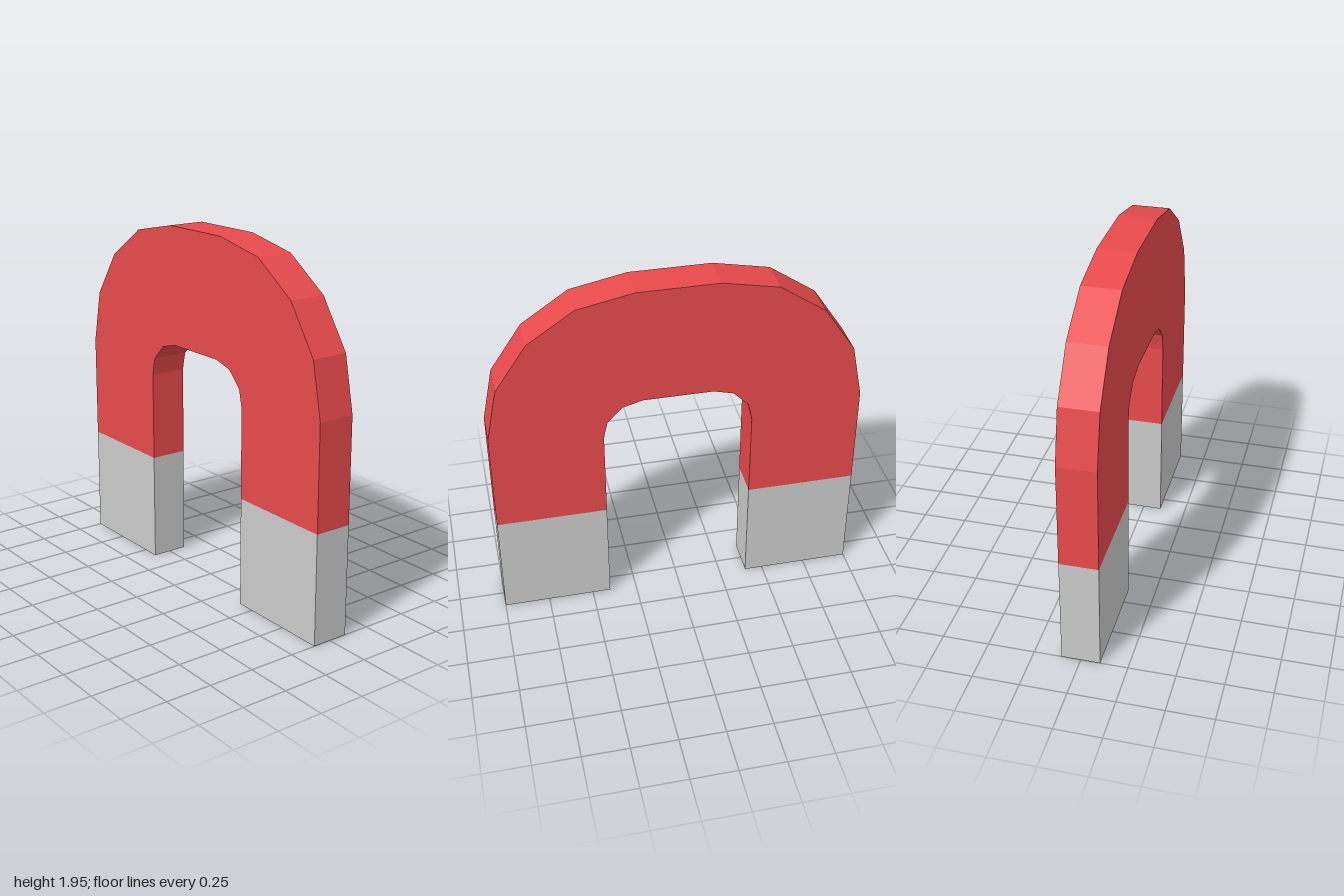
import * as THREE from 'three';

const HALF_WIDTH = 0.103;
const LEG_SPLIT = 0.6;

// Half of the arch: [outer z, outer y, inner z, inner y], from the leg to the crown
const HALF_ARCH = [
  [1, LEG_SPLIT, 0.4, LEG_SPLIT],
  [1, 1.17, 0.4, 1.09],
  [0.94, 1.465, 0.39, 1.14],
  [0.77, 1.717, 0.378, 1.19],
  [0.52, 1.887, 0.295, 1.274],
  [0.217, 1.948, 0.187, 1.303],
];

const mirrorSection = ([oz, oy, iz, iy]) => [-oz, oy, -iz, iy];

// Flat-faced open sleeve through rectangular cross-sections
function sleeve(sections) {
  const rings = sections.map(([oz, oy, iz, iy]) => [
    [HALF_WIDTH, oy, oz],
    [HALF_WIDTH, iy, iz],
    [-HALF_WIDTH, iy, iz],
    [-HALF_WIDTH, oy, oz],
  ]);
  const positions = [];
  for (let i = 0; i < rings.length - 1; i++) {
    for (let j = 0; j < 4; j++) {
      const k = (j + 1) % 4;
      const a = rings[i][j], b = rings[i][k], c = rings[i + 1][k], d = rings[i + 1][j];
      positions.push(...a, ...b, ...c, ...a, ...c, ...d);
    }
  }
  const geometry = new THREE.BufferGeometry();
  geometry.setAttribute('position', new THREE.Float32BufferAttribute(positions, 3));
  geometry.computeVertexNormals();
  return geometry;
}

export function createModel() {
  const group = new THREE.Group();
  group.name = 'horseshoeMagnet';
  const red = new THREE.MeshStandardMaterial({ color: 0xe84a4c, flatShading: true });
  const grey = new THREE.MeshStandardMaterial({ color: 0xcccccc, flatShading: true });

  const add = (name, geometry, material) => {
    const mesh = new THREE.Mesh(geometry, material);
    mesh.name = name;
    group.add(mesh);
    return mesh;
  };

  // Red arch, mirrored front to back
  const arch = [...HALF_ARCH, ...HALF_ARCH.map(mirrorSection).reverse()];
  add('arch', sleeve(arch), red);

  // Bare metal pole tips, each closed by a red end face
  const tip = [[1, 0, 0.4, 0], [1, LEG_SPLIT, 0.4, LEG_SPLIT]];
  add('frontTip', sleeve(tip), grey);
  add('backTip', sleeve(tip.map(mirrorSection).reverse()), grey);
  for (const [name, side] of [['frontEndFace', 1], ['backEndFace', -1]]) {
    const face = new THREE.PlaneGeometry(HALF_WIDTH * 2, 0.6).rotateX(Math.PI / 2);
    add(name, face, red).position.z = side * 0.7;
  }
  return group;
}
